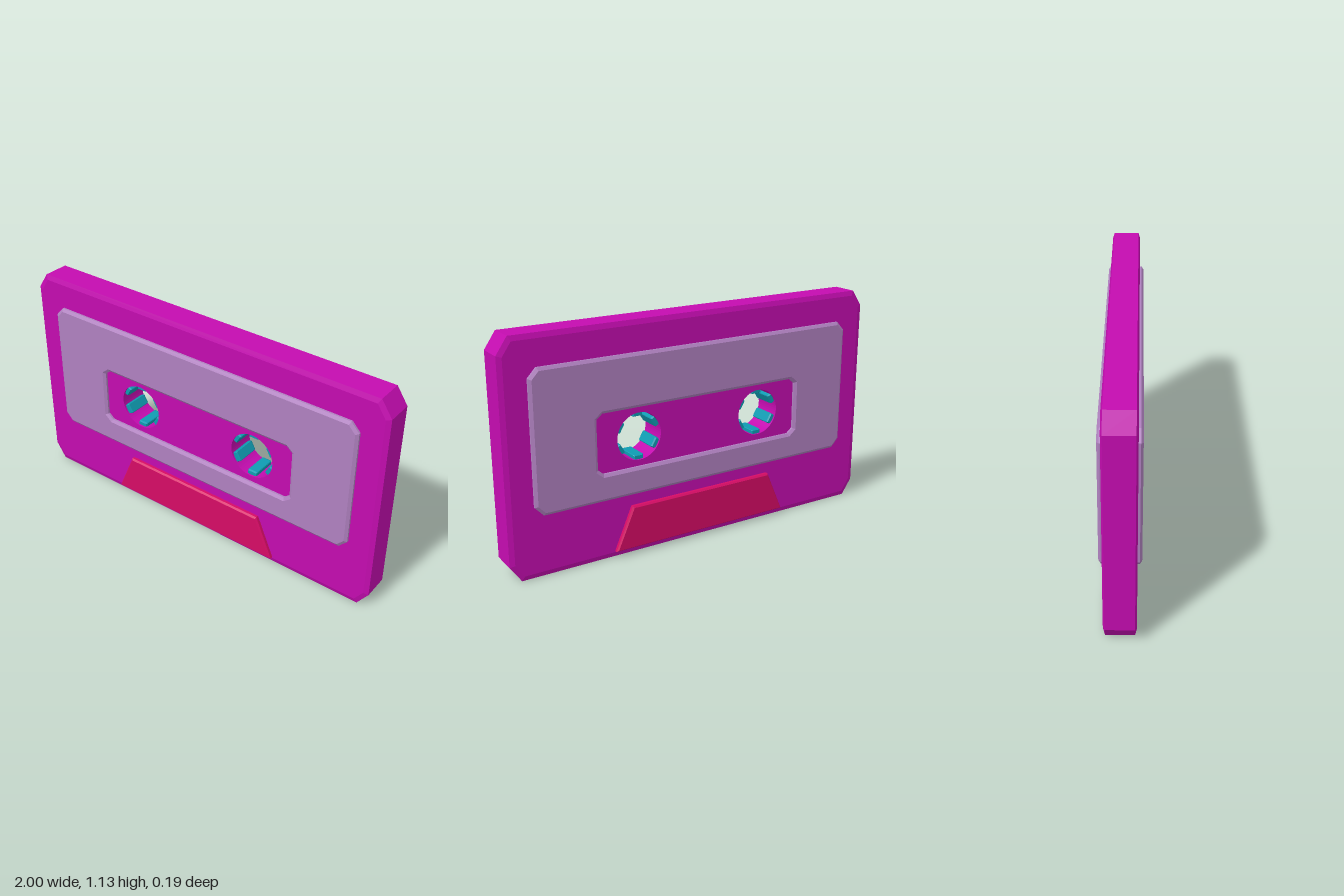
import * as THREE from 'three';

const HUBS = [-0.345, 0.332], HUB_Y = 0.58, HUB_R = 0.116;

const paint = (color) => new THREE.MeshStandardMaterial({ color, flatShading: true });

// Outline of a rectangle with cut corners (cx, cy)
function cutRect(x0, x1, y0, y1, cx, cy) {
  return [
    [x0 + cx, y0], [x1 - cx, y0], [x1, y0 + cy], [x1, y1 - cy],
    [x1 - cx, y1], [x0 + cx, y1], [x0, y1 - cy], [x0, y0 + cy],
  ].map(([x, y]) => new THREE.Vector2(x, y));
}

// Slab centred on z = 0; its outline stays the outermost edge of the chamfer
function slab(shape, halfDepth, bevelSize, bevelThickness) {
  const depth = 2 * (halfDepth - bevelThickness);
  return new THREE.ExtrudeGeometry(shape, {
    depth, bevelEnabled: true, bevelSegments: 1, bevelSize, bevelThickness,
    bevelOffset: -bevelSize, curveSegments: 32,
  }).translate(0, 0, -depth / 2);
}

function add(parent, name, geometry, material) {
  const mesh = new THREE.Mesh(geometry, material);
  mesh.name = name;
  parent.add(mesh);
  return mesh;
}

export function createModel() {
  const model = new THREE.Group();
  model.name = 'cassette';

  // Shell with two round reel holes
  const shell = new THREE.Shape(cutRect(-1, 1, 0, 1.132, 0.055, 0.08));
  for (const x of HUBS) {
    shell.holes.push(new THREE.Path().absarc(x, HUB_Y, HUB_R, 0, Math.PI * 2, true));
  }
  const shellGeo = slab(shell, 0.073, 0.024, 0.008);
  // Keep the reel holes straight: pull their chamfer back to the hole radius
  const pos = shellGeo.attributes.position;
  for (let i = 0; i < pos.count; i++) {
    for (const x of HUBS) {
      const dx = pos.getX(i) - x, dy = pos.getY(i) - HUB_Y, r = Math.hypot(dx, dy);
      if (r < 0.17) pos.setXY(i, x + dx * HUB_R / r, HUB_Y + dy * HUB_R / r);
    }
  }
  shellGeo.computeVertexNormals();
  add(model, 'shell', shellGeo, paint(0xc40cb0));

  // Label plate with a window, raised on both faces
  const label = new THREE.Shape(cutRect(-0.875, 0.872, 0.302, 0.984, 0.042, 0.045));
  label.holes.push(new THREE.Path(cutRect(-0.563, 0.556, 0.435, 0.726, 0.03, 0.025).reverse()));
  add(model, 'label', slab(label, 0.093, 0.014, 0.01), paint(0xb081c0));

  // Trapezoid head block, raised on both faces
  const head = new THREE.Shape([
    new THREE.Vector2(-0.5, 0.03), new THREE.Vector2(0.475, 0.03),
    new THREE.Vector2(0.382, 0.244), new THREE.Vector2(-0.407, 0.244),
  ]);
  add(model, 'headBlock', slab(head, 0.095, 0.008, 0.008), paint(0xd60b66));

  // Six drive teeth around each reel hole
  const tooth = slab(new THREE.Shape(cutRect(-0.026, 0.026, 0.094, 0.124, 0.003, 0.003)), 0.064, 0.004, 0.008);
  const teal = paint(0x0f9cb2);
  HUBS.forEach((x, h) => {
    const reel = new THREE.Group();
    reel.name = h ? 'leftReel' : 'rightReel';
    reel.position.set(x, HUB_Y, 0);
    for (let i = 0; i < 6; i++) {
      add(reel, 'tooth', tooth, teal).rotation.z = i * Math.PI / 3;
    }
    model.add(reel);
  });

  return model;
}
